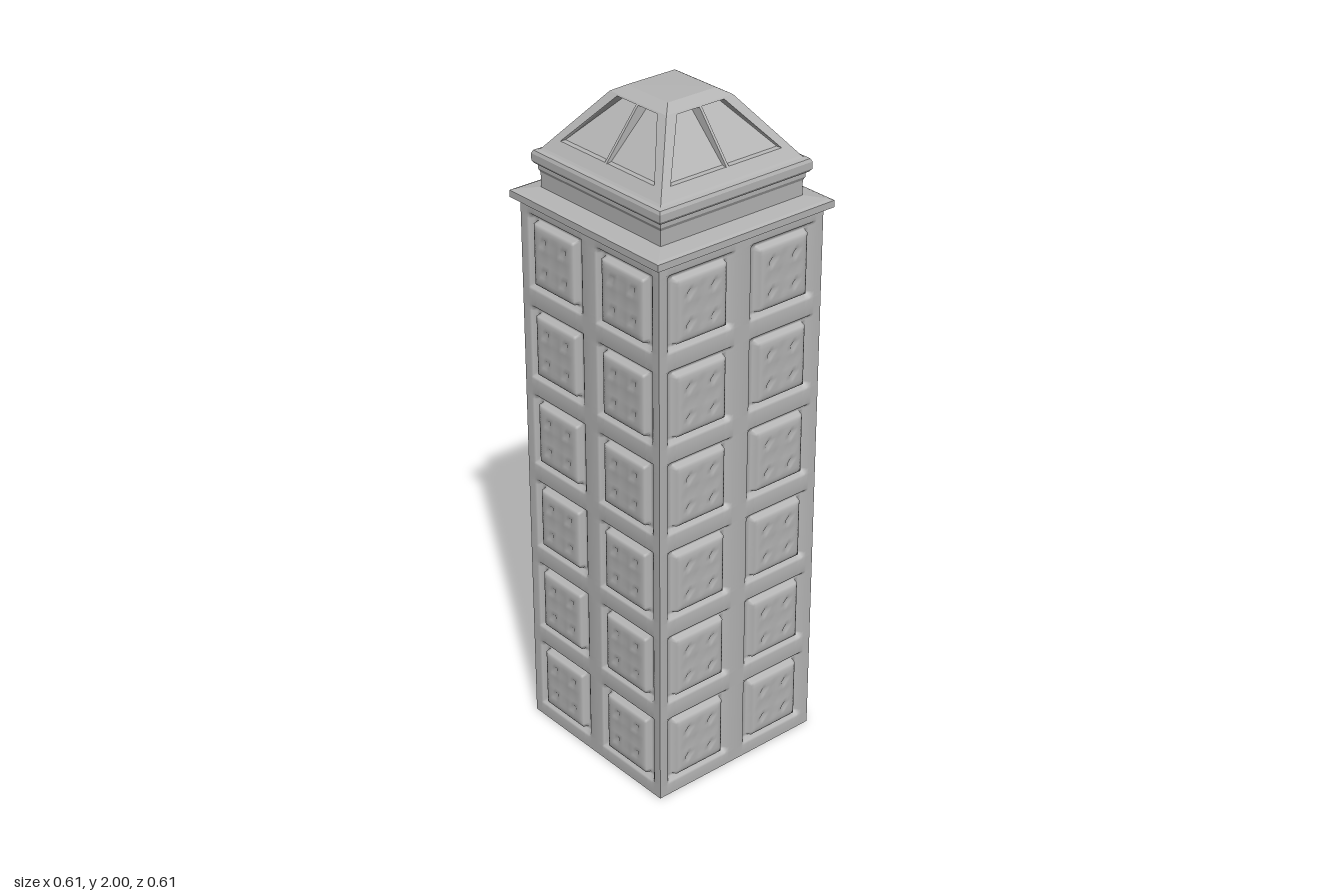
import * as THREE from 'three';

const stone = new THREE.MeshStandardMaterial({ color: 0xb4b4b4 });
stone.name = 'stone grey';

function add(parent, name, geometry) {
  const mesh = new THREE.Mesh(geometry, stone);
  mesh.name = name;
  parent.add(mesh);
  return mesh;
}

// Square moulding from a [halfWidth, y] profile, bottom to top
function squareMoulding(profile) {
  const pts = profile.map(([r, y]) => new THREE.Vector2(r * Math.SQRT2, y));
  const g = new THREE.LatheGeometry(pts, 4, Math.PI / 4).toNonIndexed();
  g.computeVertexNormals();
  return g;
}

// Flat quads, corners counter-clockwise seen from outside
function quads(list) {
  const pos = [];
  for (const [a, b, c, d] of list) pos.push(...a, ...b, ...c, ...a, ...c, ...d);
  const g = new THREE.BufferGeometry();
  g.setAttribute('position', new THREE.Float32BufferAttribute(pos, 3));
  g.computeVertexNormals();
  return g;
}

// One wall bay: flat frame, sunken groove and a cushioned window with four dimples
function windowBay() {
  const U = [0, 0.016, 0.03, 0.042, 0.054, 0.066, 0.076, 0.084, 0.088, 0.104, 0.112, 0.118, 0.1425];
  const V = [0, 0.018, 0.032, 0.045, 0.058, 0.07, 0.081, 0.09, 0.094, 0.103, 0.11, 0.116, 0.1375];
  const depth = [0.006, 0.006, 0.006, 0.006, 0.006, 0.006, 0.005, 0.002, -0.016, -0.016, -0.003, 0, 0];
  const n = U.length - 1;
  const g = new THREE.PlaneGeometry(1, 1, 2 * n, 2 * n);
  const p = g.attributes.position;
  for (let k = 0; k < p.count; k++) {
    const i = (k % (2 * n + 1)) - n;
    const j = n - Math.floor(k / (2 * n + 1));
    const a = Math.abs(i), b = Math.abs(j);
    let z = depth[Math.max(a, b)];
    if (a === 3 && b === 3) z -= 0.009;
    if (Math.min(a, b) === 0 && Math.max(a, b) < 5) z -= 0.002;
    p.setXYZ(k, Math.sign(i) * U[a], Math.sign(j) * V[b], z);
  }
  g.computeVertexNormals();
  return g;
}

// One roof slope: border around a trapezoid opening, its reveals and sunken face
function roofSlope() {
  const y0 = 1.815, y1 = 1.98, h0 = 0.241, h1 = 0.113;
  const zAt = y => h0 + (h1 - h0) * (y - y0) / (y1 - y0);
  const ring = (xb, yb, xt, yt, inB, inT) => [
    [-xb, yb, zAt(yb) - inB], [xb, yb, zAt(yb) - inB],
    [xt, yt, zAt(yt) - inT], [-xt, yt, zAt(yt) - inT]];
  const outer = ring(h0, y0, h1, y1, 0, 0);
  const hole = ring(0.19, 1.843, 0.08, 1.976, 0, 0);
  const inner = ring(0.185, 1.845, 0.08, 1.974, 0.012, 0.045);
  const list = [inner];
  for (let i = 0; i < 4; i++) {
    const j = (i + 1) % 4;
    list.push([outer[i], outer[j], hole[j], hole[i]]);
    list.push([hole[i], hole[j], inner[j], inner[i]]);
  }
  return quads(list);
}

// Thin upright rib standing in the middle of a roof opening
function roofRib() {
  const s = new THREE.Shape([[0.222, 1.843], [0.115, 1.976], [0.07, 1.974], [0.205, 1.843]]
    .map(([z, y]) => new THREE.Vector2(-z, y)));
  const g = new THREE.ExtrudeGeometry(s, { depth: 0.008, bevelEnabled: false });
  g.translate(0, 0, -0.004);
  g.rotateY(Math.PI / 2);
  return g;
}

export function createModel() {
  const model = new THREE.Group();
  model.name = 'tower';
  const bay = windowBay(), slope = roofSlope(), rib = roofRib();

  // Plinth closes the bottom of the shaft
  const plinth = add(model, 'plinth', new THREE.BoxGeometry(0.57, 0.0125, 0.57));
  plinth.position.y = 0.00625;

  // Four identical sides: wall of window bays and a roof slope
  for (let side = 0; side < 4; side++) {
    const group = new THREE.Group();
    group.name = 'side' + (side + 1);
    group.rotation.y = side * Math.PI / 2;
    model.add(group);
    for (let row = 0; row < 6; row++) {
      for (const sx of [-1, 1]) {
        add(group, 'windowBay', bay).position.set(sx * 0.1425, 0.15 + row * 0.275, 0.285);
      }
    }
    add(group, 'roofSlope', slope);
    add(group, 'roofRib', rib);
  }

  // Ledge, neck and cornice between shaft and roof
  add(model, 'ledge', squareMoulding([
    [0.284, 1.6625], [0.305, 1.67], [0.305, 1.69], [0.295, 1.694], [0.245, 1.702]]));
  add(model, 'neck', squareMoulding([
    [0.245, 1.70], [0.245, 1.745], [0.25, 1.755], [0.25, 1.77]]));
  add(model, 'cornice', squareMoulding([
    [0.245, 1.768], [0.257, 1.77], [0.262, 1.778], [0.262, 1.798], [0.258, 1.807],
    [0.246, 1.81], [0.241, 1.815]]));

  // Chamfered cap on the roof
  add(model, 'roofCap', squareMoulding([[0.113, 1.98], [0.082, 1.998], [0, 2]]));
  return model;
}
